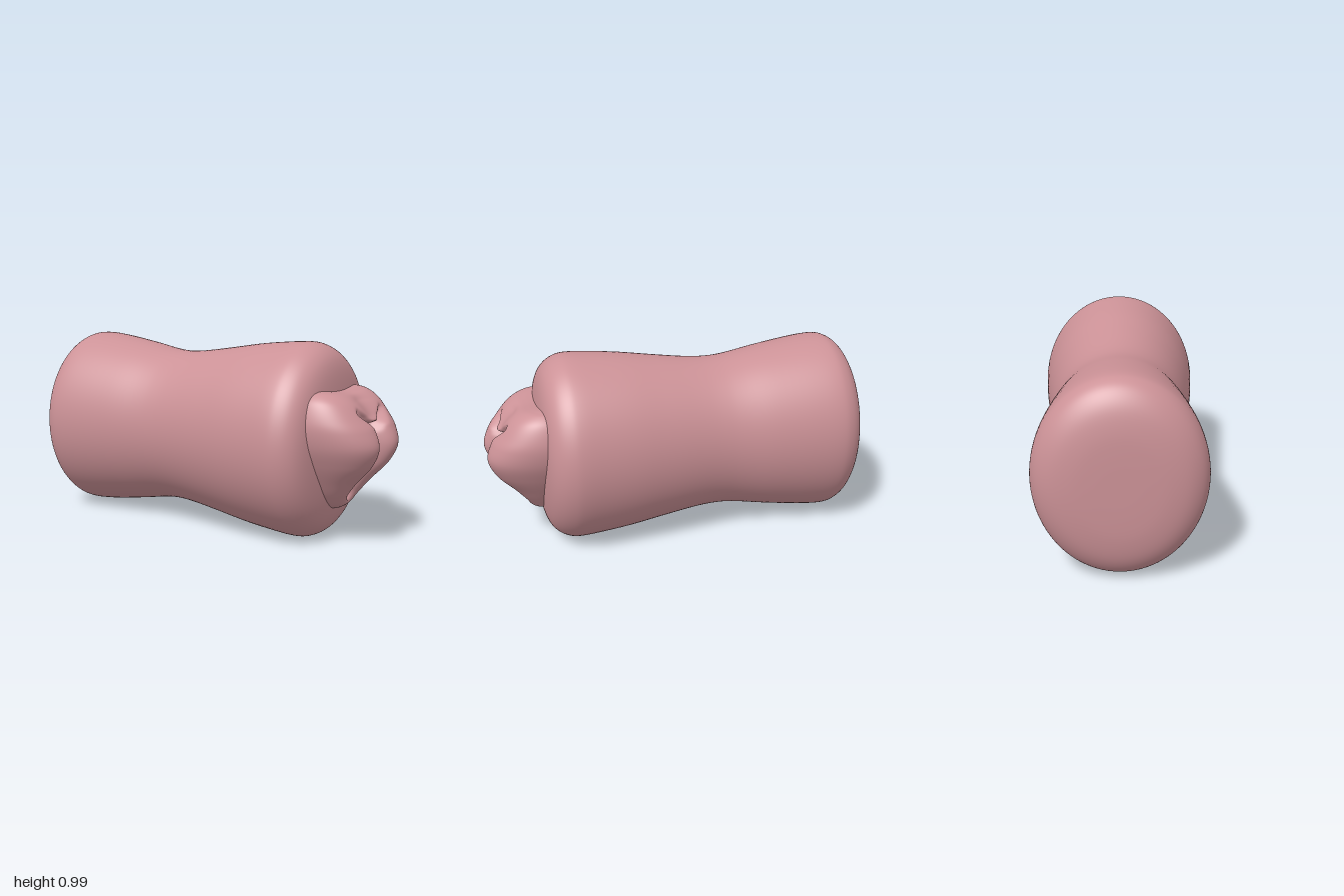
import * as THREE from 'three';

const smooth = THREE.MathUtils.smoothstep;

// Waisted body: a lathe along z, narrowed in x to an oval section
function makeBody(material) {
  const profile = [
    [0, -1], [0.15, -0.999], [0.27, -0.992], [0.37, -0.97], [0.44, -0.93], [0.477, -0.88],
    [0.488, -0.82], [0.478, -0.7], [0.448, -0.5], [0.418, -0.33], [0.41, -0.22], [0.418, -0.1],
    [0.444, 0.08], [0.472, 0.26], [0.489, 0.42], [0.496, 0.53], [0.487, 0.59], [0.455, 0.645],
    [0.4, 0.685], [0.31, 0.71], [0.16, 0.726], [0, 0.73],
  ].map(([r, z]) => new THREE.Vector2(r, z));
  const points = new THREE.SplineCurve(profile).getPoints(110);
  points.forEach((p) => { p.x = Math.max(p.x, 0); });
  const geometry = new THREE.LatheGeometry(points, 96);
  geometry.rotateX(Math.PI / 2);
  geometry.scale(0.85, 1, 1);
  geometry.computeVertexNormals();
  // keep the shading continuous across the lathe seam
  const n = geometry.attributes.normal;
  const rows = points.length;
  for (let j = 0; j < rows; j++) {
    const a = new THREE.Vector3().fromBufferAttribute(n, j);
    const b = new THREE.Vector3().fromBufferAttribute(n, 96 * rows + j);
    a.add(b).normalize();
    n.setXYZ(j, a.x, a.y, a.z);
    n.setXYZ(96 * rows + j, a.x, a.y, a.z);
  }
  const mesh = new THREE.Mesh(geometry, material);
  mesh.name = 'body';
  mesh.position.y = 0.498;
  return mesh;
}

// Distance to the slanted crease, and how far along it (0 to 1)
function creaseAt(x, y) {
  const ax = 0, ay = 0.585, dx = 0.115, dy = 0.09;
  const k = THREE.MathUtils.clamp(((x - ax) * dx + (y - ay) * dy) / (dx * dx + dy * dy), 0, 1);
  return [Math.hypot(x - ax - k * dx, y - ay - k * dy), k];
}

// Heart-shaped raised front: rows of half width, height and bulge, with folds pressed in
function makeFrontRelief(material) {
  const rows = new THREE.CatmullRomCurve3([
    [0.004, 0.168, 0], [0.04, 0.175, 0.045], [0.08, 0.2, 0.085], [0.13, 0.25, 0.125],
    [0.18, 0.32, 0.18], [0.24, 0.42, 0.27], [0.28, 0.51, 0.305], [0.295, 0.59, 0.28],
    [0.29, 0.65, 0.24], [0.262, 0.725, 0.18], [0.225, 0.76, 0.125], [0.195, 0.77, 0.075],
    [0.17, 0.774, 0],
  ].map((p) => new THREE.Vector3(...p)));
  const nu = 120, nv = 140;
  const geometry = new THREE.PlaneGeometry(2, 1, nu, nv);
  const pos = geometry.attributes.position;
  const row = new THREE.Vector3();
  for (let i = 0; i < pos.count; i++) {
    const v = Math.abs(pos.getX(i));
    const side = Math.sign(pos.getX(i));
    rows.getPoint(THREE.MathUtils.clamp(pos.getY(i) + 0.5, 0, 1), row);
    const u = v * v * (3 - 2 * v);
    const x = u * row.x;
    const upper = smooth(row.y, 0.6, 0.77);
    const y = row.y - 0.013 * upper * (1 - u * u) ** 2;
    let bulge = row.z * Math.sqrt(Math.max(0, 1 - u ** 3));
    // central cleft, closing at both ends
    const cleft = smooth(y, 0.19, 0.27) * (1 - smooth(y, 0.59, 0.64));
    bulge -= row.z * cleft * (0.45 * Math.exp(-x / 0.022) + 0.12 * Math.exp(-((x / 0.06) ** 2)));
    // slanted crease on each side of the upper fold
    const [d, k] = creaseAt(x, y);
    bulge -= 0.075 * (1 - 0.7 * k) * Math.exp(-((d / 0.017) ** 2));
    // shallow hollow between the upper lobes
    bulge -= 0.03 * smooth(y, 0.6, 0.66) * (1 - smooth(y, 0.72, 0.77)) * Math.exp(-((x / 0.08) ** 2));
    pos.setXYZ(i, side * x, y, 0.685 + bulge);
  }
  geometry.computeVertexNormals();
  const mesh = new THREE.Mesh(geometry, material);
  mesh.name = 'frontRelief';
  return mesh;
}

// Slim ridge inside the cleft
function makeInnerFold(material) {
  const geometry = new THREE.SphereGeometry(1, 24, 16);
  geometry.scale(0.009, 0.08, 0.05);
  const mesh = new THREE.Mesh(geometry, material);
  mesh.name = 'innerFold';
  mesh.position.set(0, 0.56, 0.835);
  return mesh;
}

export function createModel() {
  const skin = new THREE.MeshStandardMaterial({ color: 0xcc9297, side: THREE.DoubleSide });
  skin.name = 'rosePink';
  const group = new THREE.Group();
  group.name = 'model';
  group.add(makeBody(skin), makeFrontRelief(skin), makeInnerFold(skin));
  return group;
}
